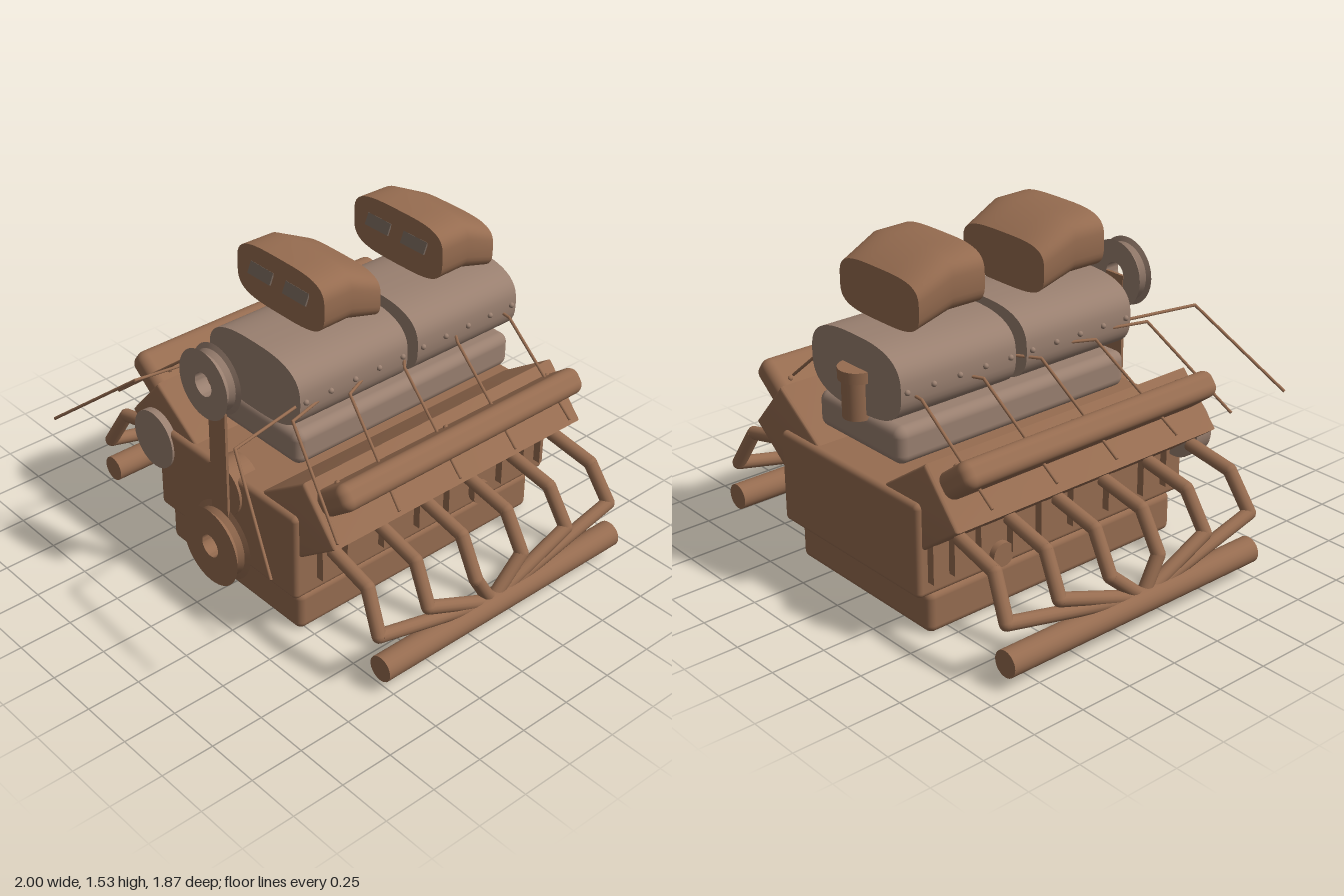
import * as THREE from 'three';
import { toCreasedNormals } from 'three/addons/utils/BufferGeometryUtils.js';
import { RoundedBoxGeometry } from 'three/addons/geometries/RoundedBoxGeometry.js';

const material = (name, color) => {
  const m = new THREE.MeshStandardMaterial({ color });
  m.name = name;
  return m;
};

export function createModel() {
  const root = new THREE.Group();
  root.name = 'engine';
  const bronze = material('bronze', 0x966c50);
  const pale = material('paleMetal', 0x9a8070);
  const grey = material('greyPlate', 0x75655a);

  const add = (name, geometry, mat, x = 0, y = 0, z = 0, parent = root) => {
    const mesh = new THREE.Mesh(geometry, mat);
    mesh.name = name;
    mesh.position.set(x, y, z);
    parent.add(mesh);
    return mesh;
  };

  // Rounded box given by its limits in each axis
  const block = (name, mat, x0, x1, y0, y1, z0, z1, r) =>
    add(name, new RoundedBoxGeometry(x1 - x0, y1 - y0, z1 - z0, 4, r), mat,
      (x0 + x1) / 2, (y0 + y1) / 2, (z0 + z1) / 2);

  // Pipe made of straight runs with round elbows
  const pipe = (name, points, r, mat, sides = 14) => {
    const group = new THREE.Group();
    group.name = name;
    const p = points.map((a) => new THREE.Vector3(...a));
    for (let i = 0; i + 1 < p.length; i++) {
      const dir = p[i + 1].clone().sub(p[i]);
      const run = add('run', new THREE.CylinderGeometry(r, r, dir.length(), sides), mat, 0, 0, 0, group);
      run.position.copy(p[i]).addScaledVector(dir, 0.5);
      run.quaternion.setFromUnitVectors(new THREE.Vector3(0, 1, 0), dir.normalize());
      if (i > 0) add('elbow', new THREE.SphereGeometry(r, sides, 8), mat, ...points[i], group);
    }
    root.add(group);
  };

  // Loft of superellipse sections [z, halfWidth, yBottom, yTop], z increasing
  const loft = (sections, power, n = 48) => {
    const pos = [];
    const index = [];
    const bend = (v) => Math.sign(v) * Math.abs(v) ** (2 / power);
    for (const [z, w, y0, y1] of sections) {
      for (let j = 0; j < n; j++) {
        const t = (j / n) * Math.PI * 2;
        pos.push(w * bend(Math.cos(t)), (y0 + y1) / 2 + ((y1 - y0) / 2) * bend(Math.sin(t)), z);
      }
    }
    const last = (sections.length - 1) * n;
    for (let i = 0; i < last; i += n) {
      for (let j = 0; j < n; j++) {
        const k = (j + 1) % n;
        index.push(i + j, i + k, i + n + k, i + j, i + n + k, i + n + j);
      }
    }
    for (let j = 1; j < n - 1; j++) index.push(0, j + 1, j, last, last + j, last + j + 1);
    const g = new THREE.BufferGeometry();
    g.setAttribute('position', new THREE.Float32BufferAttribute(pos, 3));
    g.setIndex(index);
    return toCreasedNormals(g, 0.6);
  };

  // Lower engine
  block('oilPan', bronze, -0.45, 0.45, 0, 0.195, -0.86, 0.54, 0.035);
  block('engineBlock', bronze, -0.47, 0.47, 0.2, 0.63, -0.93, 0.58, 0.025);
  block('intakeManifold', pale, -0.28, 0.28, 0.7, 0.867, -0.86, 0.4, 0.045);

  for (const s of [1, -1]) {
    // Cylinder bank
    const outline = [[0.24, 0.62], [0.49, 0.795], [0.67, 0.59], [0.47, 0.44], [0.3, 0.44]];
    const shape = new THREE.Shape(outline.map(([x, y]) => new THREE.Vector2(x * s, y)));
    const bank = new THREE.ExtrudeGeometry(shape, {
      depth: 1.43, bevelEnabled: true, bevelSize: 0.015, bevelThickness: 0.015, bevelSegments: 3,
    });
    add('cylinderBank', toCreasedNormals(bank, 0.6), bronze, 0, 0, -0.89);

    // Valve cover with top bolts
    const cover = add('valveCover', new RoundedBoxGeometry(0.23, 0.12, 1.4, 4, 0.045), bronze, 0.62 * s, 0.77, -0.175);
    cover.rotation.z = s * 0.66;
    for (const z of [-0.8, -0.18, 0.43])
      add('coverBolt', new THREE.SphereGeometry(0.012, 10, 8), bronze, 0.565 * s, 0.802, z);

    // Ribs and plug on the block side
    for (const z of [0.45, 0.31, 0.1, -0.11, -0.29, -0.45, -0.62, -0.76, -0.87])
      add('sideRib', new THREE.BoxGeometry(0.05, 0.32, 0.018), bronze, 0.482 * s, 0.43, z);
    const plug = add('blockPlug', new THREE.CylinderGeometry(0.055, 0.055, 0.05, 24), bronze, 0.475 * s, 0.27, -0.5);
    plug.rotation.z = Math.PI / 2;

    // Exhaust collector and its six header pipes
    const collector = add('exhaustCollector', new THREE.CylinderGeometry(0.06, 0.06, 1.395, 28), bronze, 0.938 * s, 0.107, -0.177);
    collector.rotation.x = Math.PI / 2;
    for (let i = 0; i < 6; i++) {
      const z = 0.485 - i * 0.261;
      const spread = z + 0.16;
      pipe('headerPipe', [
        [0.6 * s, 0.505, z],
        [0.83 * s, 0.457, z + spread * 0.02],
        [0.93 * s, 0.28, z + spread * 0.06],
        [0.935 * s, 0.145, -0.13 + spread * 0.18],
      ], 0.031, bronze);
    }

    // Thin fuel lines
    const lines = [[0.77, 0.93, -0.32], [0.47, 0.585, -0.32], [0.16, 0.25, -0.32],
      [-0.15, -0.1, -0.32], [-0.465, -0.43, -0.6], [-0.785, -0.77, -0.79]];
    for (const [bendZ, endZ, startZ] of lines)
      pipe('fuelLine', [[0.14 * s, 1.02, startZ], [0.335 * s, 1.003, bendZ], [0.745 * s, 0.672, endZ]], 0.007, bronze, 8);
  }

  // Two superchargers, each with an air scoop
  const blower = loft([[-0.3, 0.3, 0.865, 1.2], [0.3, 0.3, 0.865, 1.2]], 2.8);
  const scoop = loft([[-0.162, 0.262, 1.222, 1.452], [0.005, 0.275, 1.272, 1.535], [0.162, 0.28, 1.272, 1.535]], 3.6);
  for (const z of [0.1, -0.56]) {
    add('supercharger', blower, pale, 0, 0, z);
    add('airScoop', scoop, bronze, 0, 0, z - 0.01);
    for (const s of [1, -1]) {
      const flap = add('scoopFlap', new THREE.BoxGeometry(0.145, 0.055, 0.008), grey, 0.113 * s, 1.425, z + 0.161);
      flap.rotation.x = -0.4;
      for (let i = 0; i < 5; i++)
        add('superchargerBolt', new THREE.SphereGeometry(0.013, 10, 8), pale, 0.302 * s, 1.035, z + 0.27 - i * 0.135);
    }
  }

  // Rear outlet with cap
  add('rearOutlet', new THREE.CylinderGeometry(0.065, 0.065, 0.18, 28), bronze, 0, 0.93, -0.855);
  add('rearOutletCap', new THREE.CylinderGeometry(0.085, 0.085, 0.05, 28), bronze, 0, 1.035, -0.848);

  // Grooved pulleys, belt and idler at the front
  const pulley = (name, r, y, mat) => {
    const profile = [[0.055, -0.036], [r, -0.036], [r * 0.86, -0.025], [r * 0.78, 0],
      [r * 0.86, 0.025], [r, 0.036], [0.055, 0.036], [0.055, -0.036]];
    const g = new THREE.LatheGeometry(profile.map((p) => new THREE.Vector2(...p)), 48);
    add(name, toCreasedNormals(g, 0.6), mat, 0, y, 0.63).rotation.x = Math.PI / 2;
  };
  pulley('crankPulley', 0.19, 0.268, bronze);
  pulley('superchargerPulley', 0.16, 1.1, pale);
  add('driveBelt', new THREE.BoxGeometry(0.11, 0.84, 0.014), bronze, 0, 0.685, 0.598);
  add('idler', new THREE.CylinderGeometry(0.125, 0.125, 0.12, 36), bronze, 0, 0.54, 0.532).rotation.x = Math.PI / 2;
  add('frontCanister', new THREE.CylinderGeometry(0.14, 0.14, 0.09, 36), pale, -0.49, 0.54, 0.545).rotation.x = Math.PI / 2;

  return root;
}
